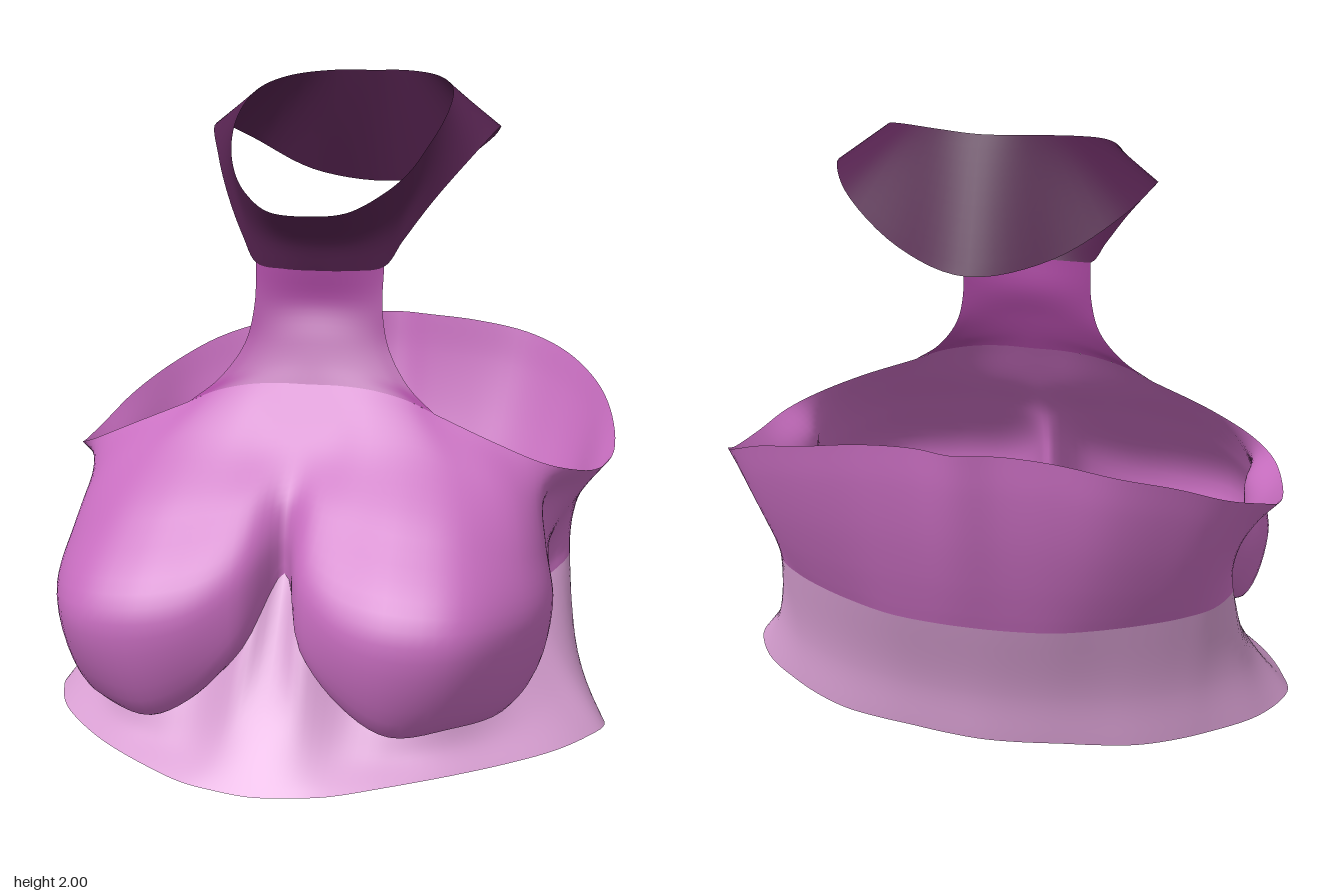
import * as THREE from 'three';

const material = (name, color) => {
  const m = new THREE.MeshStandardMaterial({ color, side: THREE.DoubleSide });
  m.name = name;
  return m;
};
const vec = ([x, y, z]) => new THREE.Vector3(x, y, z);
const flip = (p) => new THREE.Vector3(-p.x, p.y, p.z);

// Smooth cloth surface through rows of points given for the left half only.
// Closed rows run from front centre to back centre; open rows from centre to edge.
function loft(name, mat, rows, closed, nu, nv) {
  const curves = rows.map((half) => {
    const full = closed
      ? [...half, ...half.slice(1, -1).reverse().map(flip)]
      : [...half.slice(1).reverse().map(flip), ...half];
    return new THREE.CatmullRomCurve3(full, closed);
  });
  const cols = closed ? nu : nu + 1;
  const pos = [], index = [];
  for (let i = 0; i < cols; i++) {
    const down = new THREE.CatmullRomCurve3(curves.map((c) => c.getPoint(i / nu)));
    for (let j = 0; j <= nv; j++) pos.push(...down.getPoint(j / nv).toArray());
  }
  for (let i = 0; i < nu; i++) {
    for (let j = 0; j < nv; j++) {
      const a = i * (nv + 1) + j, b = ((i + 1) % cols) * (nv + 1) + j;
      index.push(a, a + 1, b, b, a + 1, b + 1);
    }
  }
  const g = new THREE.BufferGeometry();
  g.setAttribute('position', new THREE.Float32BufferAttribute(pos, 3));
  g.setIndex(index);
  g.computeVertexNormals();
  const mesh = new THREE.Mesh(g, mat);
  mesh.name = name;
  return mesh;
}

// Front of the bodice: columns from the centre to the side, each from the top
// over the cup to its rim, then tucked under to the waistband seam
const frontColumns = [
  [[0, 1.09, .225], [0, .93, .32], [0, .78, .425], [0, .68, .452], [0, .6, .455], [0, .57, .455]],
  [[.1, 1.09, .225], [.1, .92, .33], [.1, .76, .48], [.09, .57, .6], [.09, .39, .6], [.09, .37, .57]],
  [[.2, 1.08, .222], [.22, .92, .34], [.23, .74, .51], [.23, .48, .69], [.22, .235, .62], [.22, .24, .55]],
  [[.3, 1.055, .218], [.35, .92, .33], [.38, .72, .53], [.4, .45, .72], [.36, .16, .62], [.35, .18, .55]],
  [[.38, 1.02, .215], [.48, .88, .33], [.54, .7, .5], [.58, .45, .67], [.52, .18, .56], [.48, .2, .49]],
  [[.56, .945, .215], [.63, .82, .3], [.68, .65, .4], [.71, .46, .48], [.64, .2, .41], [.56, .22, .36]],
  [[.7, .885, .18], [.7, .78, .22], [.725, .65, .26], [.755, .48, .3], [.69, .28, .25], [.58, .29, .22]],
  [[.78, .855, .1], [.7, .77, .11], [.7, .65, .13], [.72, .5, .14], [.67, .39, .12], [.6, .38, .1]],
];
// Back of the bodice: top and bottom of each column, and how far the side is drawn in
const backColumns = [
  [[.825, .838, -.03], [.64, .46, -.01], .2],
  [[.84, .86, -.2], [.71, .53, -.17], .25],
  [[.8, .94, -.38], [.67, .54, -.31], .15],
  [[.72, 1.02, -.54], [.585, .545, -.4], 0],
  [[.6, 1.095, -.65], [.48, .55, -.475], 0],
  [[.45, 1.145, -.725], [.37, .55, -.53], 0],
  [[.28, 1.175, -.738], [.25, .55, -.575], 0],
  [[.12, 1.187, -.75], [.12, .55, -.595], 0],
  [[0, 1.19, -.78], [0, .55, -.6], 0],
];
const hem = [
  [0, 0, .78], [.11, .005, .77], [.22, .012, .745], [.36, .03, .68], [.52, .045, .57],
  [.66, .052, .43], [.77, .058, .29], [.84, .065, .15], [.87, .07, .04], [.8, .07, -.12],
  [.66, .07, -.25], [.56, .07, -.32], [.46, .07, -.37], [.35, .075, -.405],
  [.24, .08, -.43], [.12, .08, -.45], [0, .08, -.46],
].map(vec);

const collarTop = [
  [0, 1.59, .27], [.12, 1.6, .245], [.21, 1.65, .185], [.27, 1.71, .11], [.31, 1.79, .02],
  [.33, 1.88, -.12], [.31, 1.95, -.26], [.24, 1.985, -.36], [.12, 2, -.43], [0, 2, -.45],
].map(vec);
const collarBottom = [
  [0, 1.42, .15], [.1, 1.422, .145], [.2, 1.435, .115], [.25, 1.51, .09], [.32, 1.62, .02],
  [.4, 1.74, -.11], [.46, 1.835, -.26], [.4, 1.79, -.4], [.22, 1.68, -.51], [0, 1.64, -.59],
].map(vec);

export function createModel() {
  const group = new THREE.Group();
  group.name = 'halterTop';
  const dark = material('dark plum', 0x54224e);
  const plum = material('plum', 0xa8479f);
  const orchid = material('orchid', 0xc76dbf);
  const pale = material('pale orchid', 0xd9a0d3);

  // Bodice: shaped front joined to a gently bulging back
  const columns = frontColumns.map((c) => c.map(vec));
  for (const [top, bottom, pull] of backColumns) {
    const a = vec(top), b = vec(bottom);
    columns.push([0, .2, .45, .7, .9, 1].map((t) => {
      const p = a.clone().lerp(b, t);
      p.x *= 1 - pull * t * (1 - t);
      p.z *= 1 + .16 * t * (1 - t);
      return p;
    }));
  }
  const rows = [0, 1, 2, 3, 4, 5].map((r) => columns.map((c) => c[r]));
  group.add(loft('bodice', orchid, rows, true, 160, 35));

  // Waistband: pinched slightly above the flared hem
  const underbust = rows[5];
  const waist = underbust.map((p, i) => {
    const q = p.clone().lerp(hem[i], .6);
    q.x *= .98;
    q.z *= .96;
    return q;
  });
  group.add(loft('waistband', pale, [underbust, waist, hem], true, 160, 14));

  // Neck panel: half width, then height and depth at the centre and at the edge
  const spread = [0, .26, .53, .79, 1];
  const panelRows = [
    [.2, 1.42, 1.435, .15, .115], [.2, 1.32, 1.31, .143, .132],
    [.225, 1.22, 1.195, .175, .15], [.295, 1.15, 1.09, .2, .185],
  ].map(([w, yc, ye, zc, ze]) => spread.map((s) =>
    new THREE.Vector3(w * s, yc + (ye - yc) * s * s, zc + (ze - zc) * s * s)));
  panelRows.push(rows[0].slice(0, 5));
  group.add(loft('neckPanel', plum, panelRows, false, 32, 20));

  // Collar: a twisted strap around the neck, hollowed at the throat
  const collarMiddle = collarTop.map((p, i) => {
    const q = p.clone().lerp(collarBottom[i], .5);
    q.z -= .12 * Math.max(0, q.z);
    return q;
  });
  group.add(loft('collar', dark, [collarTop, collarMiddle, collarBottom], true, 108, 10));

  return group;
}
